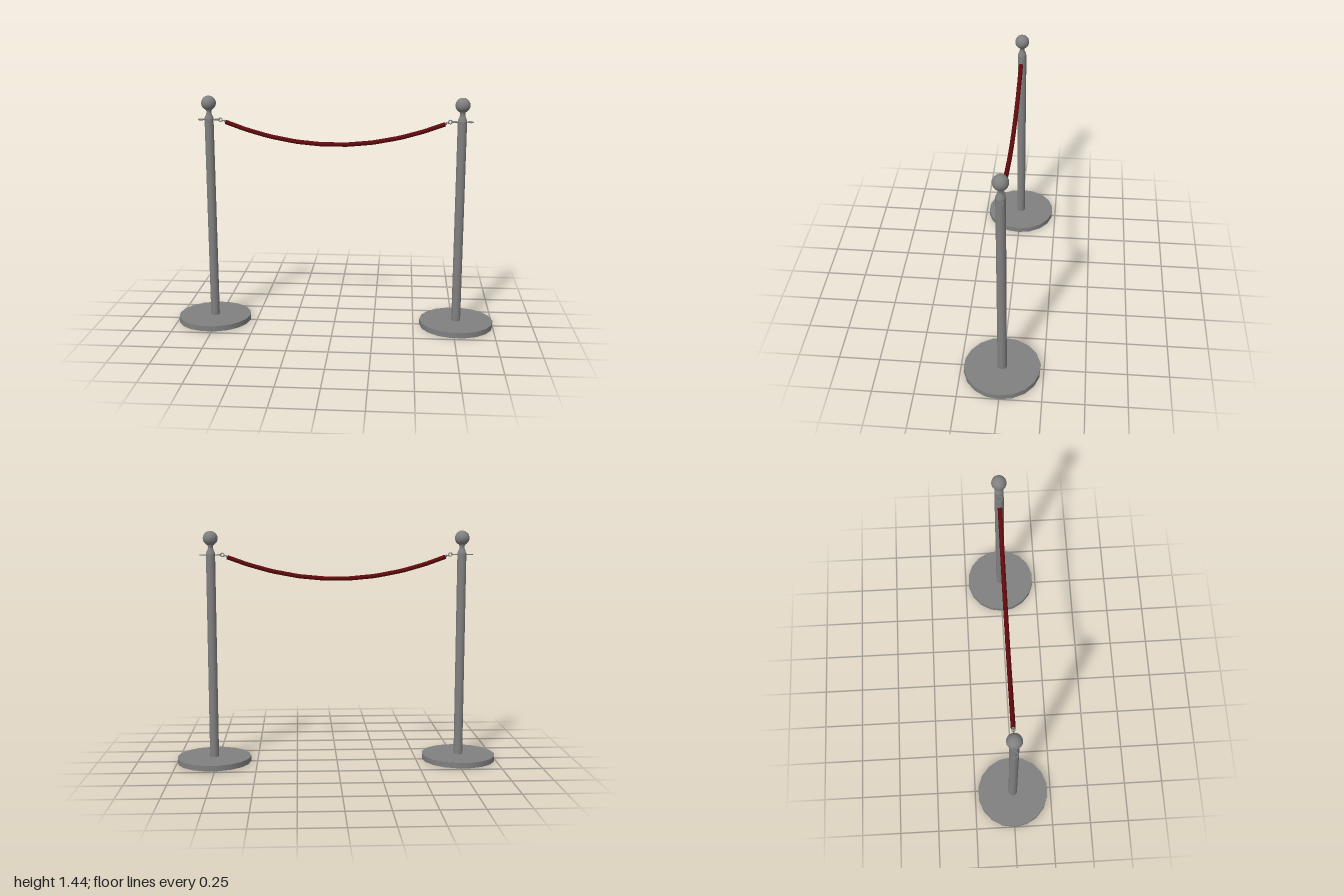
import * as THREE from 'three';

const metal = new THREE.MeshStandardMaterial({ color: 0x808080 });
metal.name = 'brushed metal';
const velvet = new THREE.MeshStandardMaterial({ color: 0x600a0c });
velvet.name = 'dark red rope';

const V = (x, y) => new THREE.Vector3(x, y, 0);

function add(parent, name, geometry, material, x = 0, y = 0) {
  const mesh = new THREE.Mesh(geometry, material);
  mesh.name = name;
  mesh.position.set(x, y, 0);
  parent.add(mesh);
  return mesh;
}

// Stanchion: round foot, pole with tapered neck, ball and two flat eyelets
function makePost() {
  const post = new THREE.Group();
  const base = add(post, 'base', new THREE.CylinderGeometry(0.23, 0.23, 0.034, 18), metal, 0, 0.017);
  base.rotation.y = Math.PI / 2;
  add(post, 'pole', new THREE.CylinderGeometry(0.028, 0.028, 1.268, 16, 1, true), metal, 0, 0.664);
  const neck = [[0.028, 1.298], [0.026, 1.308], [0.019, 1.322], [0.0155, 1.334], [0.0155, 1.344], [0.02, 1.356]];
  add(post, 'neck', new THREE.LatheGeometry(neck.map(([r, y]) => new THREE.Vector2(r, y)), 16), metal);
  add(post, 'ball', new THREE.SphereGeometry(0.045, 20, 14), metal, 0, 1.394);
  for (const s of [-1, 1]) {
    const eyelet = add(post, 'eyelet', new THREE.TorusGeometry(0.017, 0.004, 6, 14), metal, s * 0.048, 1.293);
    eyelet.rotation.x = Math.PI / 2;
  }
  return post;
}

// Hook between the inner eyelet and the rope: upright ring, flat link, end cap
function makeHook(side) {
  const hook = new THREE.Group();
  add(hook, 'hookRing', new THREE.TorusGeometry(0.011, 0.003, 6, 12), metal, side * 0.699, 1.293);
  const link = add(hook, 'hookLink', new THREE.TorusGeometry(0.008, 0.003, 6, 12), metal, side * 0.682, 1.287);
  link.rotation.set(Math.PI / 2, side * -0.38, 0);
  const cap = add(hook, 'ropeCap', new THREE.CylinderGeometry(0.006, 0.01, 0.012, 10), metal, side * 0.671, 1.283);
  cap.rotation.z = side * (0.38 - Math.PI / 2);
  return hook;
}

// Sagging rope in straight segments, closed at both ends
function makeRope() {
  const rope = new THREE.Group();
  const curve = new THREE.CurvePath();
  const sag = (x) => 1.146 + 0.134 * (x / 0.67) ** 2;
  const xs = [-0.668, -0.545, -0.4, -0.235, -0.08, 0.08, 0.235, 0.4, 0.545, 0.668];
  const points = xs.map((x) => V(x, sag(x)));
  for (let i = 1; i < points.length; i++) curve.add(new THREE.LineCurve3(points[i - 1], points[i]));
  add(rope, 'ropeBody', new THREE.TubeGeometry(curve, 36, 0.0135, 10, false), velvet);
  for (const i of [0, points.length - 1]) {
    const end = add(rope, 'ropeEnd', new THREE.CircleGeometry(0.0135, 10), velvet, points[i].x, points[i].y);
    const next = points[i === 0 ? 1 : i - 1];
    end.lookAt(points[i].clone().multiplyScalar(2).sub(next));
  }
  return rope;
}

export function createModel() {
  const model = new THREE.Group();
  model.name = 'rope barrier';
  for (const side of [-1, 1]) {
    const post = makePost();
    post.name = side > 0 ? 'leftPost' : 'rightPost';
    post.position.x = side * 0.77;
    model.add(post);
    const hook = makeHook(side);
    hook.name = side > 0 ? 'leftHook' : 'rightHook';
    model.add(hook);
  }
  const rope = makeRope();
  rope.name = 'rope';
  model.add(rope);
  return model;
}
